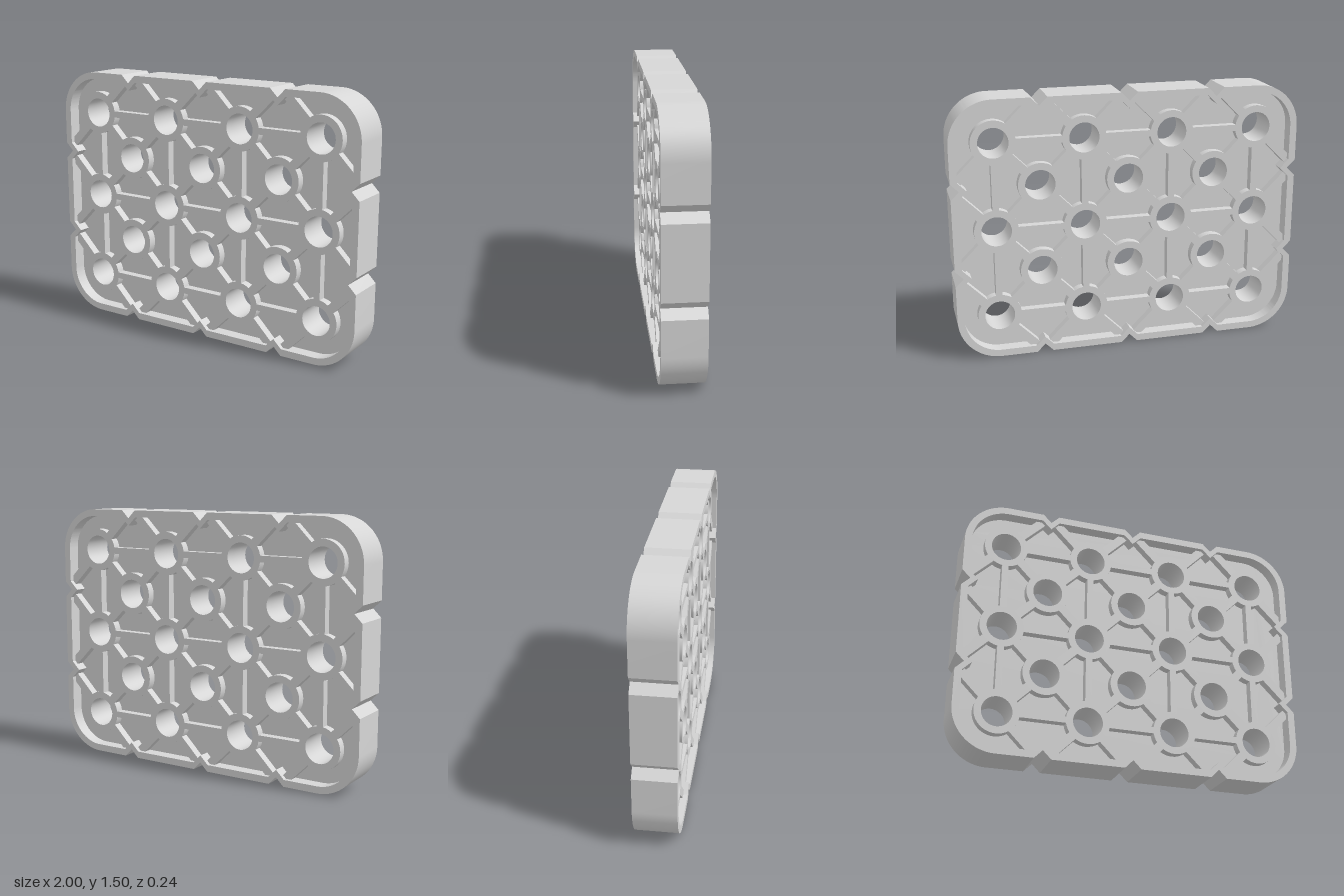
import * as THREE from 'three';
import { toCreasedNormals } from 'three/addons/utils/BufferGeometryUtils.js';

const S = 0.252;                           // quarter pitch of the hole grid
const W = 1, H = 0.748, R = W - 3 * S;     // half width, half height, corner radius
const DEPTH = 0.24, RAISED = 0.19, WEB = 0.094;  // thickness of rim, bosses and ribs, web
const HOLE = 0.085, BOSS = 0.125;

// Rounded rectangle with V notches at every second grid line along each edge
function outline(PathType, inset, tip) {
  const w = W - inset, h = H - inset, r = R - inset, v = tip - inset;
  const p = new PathType();
  p.moveTo(-W + R, -h);
  for (const x of [-2 * S, 0, 2 * S]) p.lineTo(x - v, -h).lineTo(x, -h + v).lineTo(x + v, -h);
  p.lineTo(W - R, -h);
  p.absarc(W - R, -H + R, r, -Math.PI / 2, 0, false);
  for (const y of [-S, S]) p.lineTo(w, y - v).lineTo(w - v, y).lineTo(w, y + v);
  p.absarc(W - R, H - R, r, 0, Math.PI / 2, false);
  for (const x of [2 * S, 0, -2 * S]) p.lineTo(x + v, h).lineTo(x, h - v).lineTo(x - v, h);
  p.absarc(-W + R, H - R, r, Math.PI / 2, Math.PI, false);
  for (const y of [S, -S]) p.lineTo(-w, y + v).lineTo(-w + v, y).lineTo(-w, y - v);
  p.absarc(-W + R, -H + R, r, Math.PI, Math.PI * 1.5, false);
  return p;
}

function circle(PathType, x, y, r) {
  const p = new PathType();
  p.absarc(x, y, r, 0, Math.PI * 2, false);
  return p;
}

function extrude(shape, depth) {
  const g = new THREE.ExtrudeGeometry(shape, { depth, bevelEnabled: false, curveSegments: 20 });
  g.translate(0, 0, -depth / 2);
  return toCreasedNormals(g, 0.6);
}

export function createModel() {
  const model = new THREE.Group();
  model.name = 'perforatedPanel';
  const grey = new THREE.MeshStandardMaterial({ color: 0xd6d6d6 });
  grey.name = 'lightGrey';

  const add = (name, geometry, x = 0, y = 0, angle = 0) => {
    const mesh = new THREE.Mesh(geometry, grey);
    mesh.name = name;
    mesh.position.set(x, y + H, 0);
    mesh.rotation.z = angle;
    model.add(mesh);
  };

  // Two interleaved lattices of holes, in grid steps
  const main = [], between = [];
  for (const j of [-2, 0, 2]) for (const i of [-3, -1, 1, 3]) main.push([i, j]);
  for (const j of [-1, 1]) for (const i of [-2, 0, 2]) between.push([i, j]);
  const holes = [...main, ...between];

  // Outer rim, following the notches
  const rim = outline(THREE.Shape, 0, 0.047);
  rim.holes.push(outline(THREE.Path, 0.04, 0.09));
  add('rim', extrude(rim, DEPTH));

  // Thin web in the middle
  const web = outline(THREE.Shape, 0.02, 0.07);
  for (const [i, j] of holes) web.holes.push(circle(THREE.Path, i * S, j * S, HOLE));
  add('web', extrude(web, WEB));

  // Bosses around the holes, set slightly below the rim
  const ring = circle(THREE.Shape, 0, 0, BOSS);
  ring.holes.push(circle(THREE.Path, 0, 0, HOLE));
  const bossGeometry = extrude(ring, RAISED);
  for (const [i, j] of holes) add('boss', bossGeometry, i * S, j * S);

  // Rib from grid point (i, j) by a step (di, dj), shortened at both ends
  const rib = (name, i, j, di, dj, width, trimEnd = 0.115) => {
    const trimStart = 0.115;
    const length = Math.hypot(di, dj) * S;
    const angle = Math.atan2(dj, di);
    const mid = (trimStart + length - trimEnd) / 2;
    add(name, new THREE.BoxGeometry(length - trimStart - trimEnd, width, RAISED),
      i * S + Math.cos(angle) * mid, j * S + Math.sin(angle) * mid, angle);
  };

  for (const [i, j] of main) {
    // Straight ribs to the right and upward
    if (i < 3) rib('horizontalRib', i, j, 2, 0, 0.037);
    if (j < 2) rib('verticalRib', i, j, 0, 2, 0.037);
    // Diagonal ribs to the neighbouring bosses or edge notches
    for (const di of [-1, 1]) for (const dj of [-1, 1]) {
      const atSide = Math.abs(i + di) === 4, atEnd = Math.abs(j + dj) === 3;
      if (atSide && atEnd) continue;
      rib('diagonalRib', i, j, di, dj, 0.05, atSide || atEnd ? 0.045 : 0.115);
    }
  }
  return model;
}
